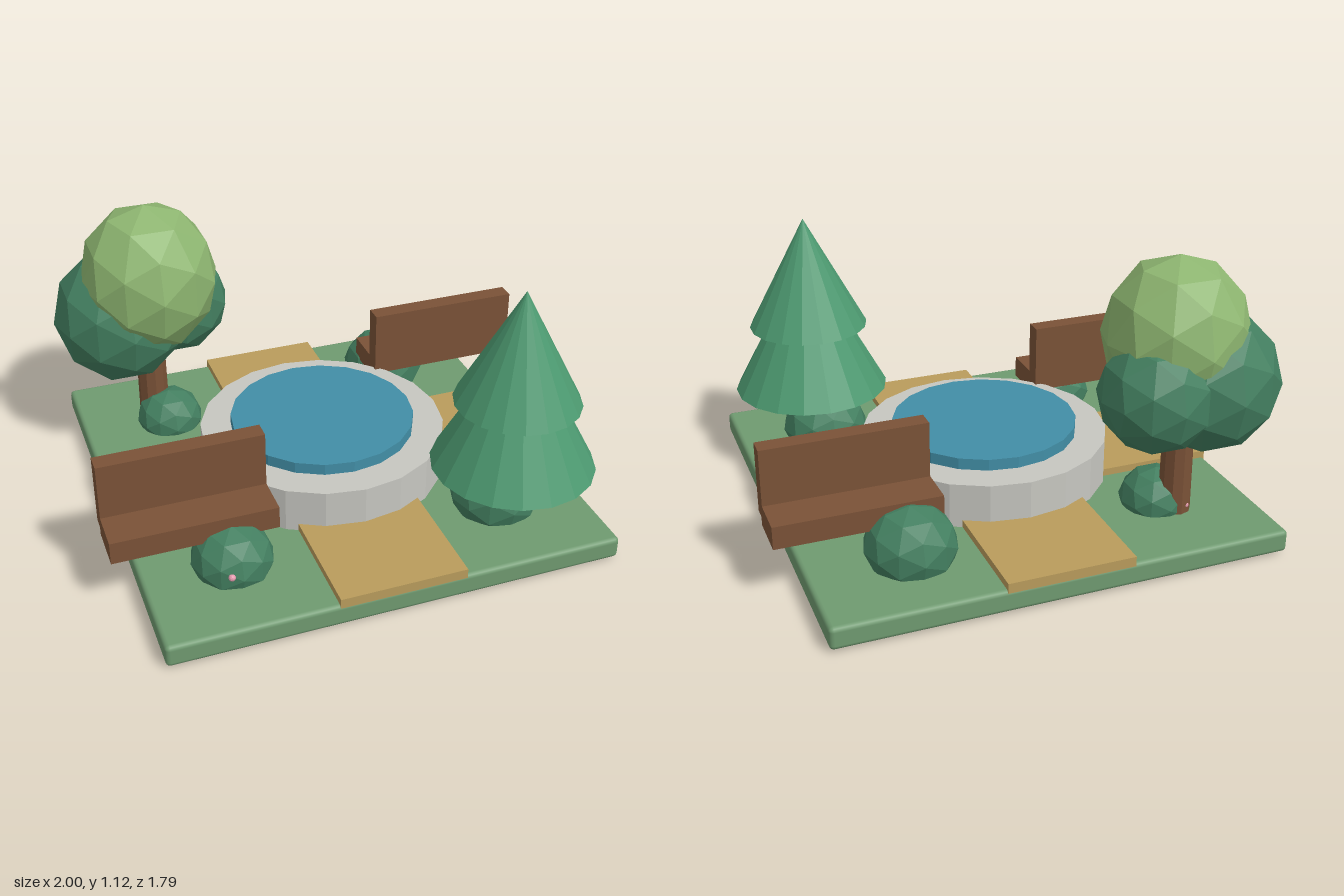
import * as THREE from 'three';
import { RoundedBoxGeometry } from 'three/addons/geometries/RoundedBoxGeometry.js';

const COLORS = {
  grass: 0x6f9a70, path: 0xb99c5c, stone: 0xc6c6c0, water: 0x428ea6, wood: 0x7a5237,
  pine: 0x4c9970, leaf: 0x437f60, lightLeaf: 0x8db570, bush: 0x437f60, flower: 0xe39aae,
};
const materials = {};
for (const key in COLORS) {
  materials[key] = new THREE.MeshStandardMaterial({ color: COLORS[key], flatShading: key !== 'grass' });
}

function add(parent, name, geometry, material, x, y, z) {
  const mesh = new THREE.Mesh(geometry, materials[material]);
  mesh.name = name;
  mesh.position.set(x, y, z);
  parent.add(mesh);
  return mesh;
}

// Box given by its lower and upper corners
function box(parent, name, material, [x0, y0, z0], [x1, y1, z1]) {
  return add(parent, name, new THREE.BoxGeometry(x1 - x0, y1 - y0, z1 - z0), material,
    (x0 + x1) / 2, (y0 + y1) / 2, (z0 + z1) / 2);
}

// Upright cylinder or cone between two heights
function column(parent, name, material, x, z, y0, y1, r0, r1, sides) {
  return add(parent, name, new THREE.CylinderGeometry(r1, r0, y1 - y0, sides), material, x, (y0 + y1) / 2, z);
}

// Faceted foliage ball, stretched or squashed vertically
function foliage(parent, name, material, x, y, z, r, ry) {
  return add(parent, name, new THREE.IcosahedronGeometry(1, 1).scale(r, ry, r), material, x, y, z);
}

function makeBench() {
  const bench = new THREE.Group();
  box(bench, 'benchSeat', 'wood', [-0.998, 0.23, 0.36], [-0.362, 0.32, 0.543]);
  box(bench, 'benchBack', 'wood', [-0.998, 0.265, 0.313], [-0.362, 0.543, 0.385]);
  return bench;
}

export function createModel() {
  const model = new THREE.Group();
  model.name = 'gardenSquare';

  // Lawn slab and crossing paths
  add(model, 'lawn', new RoundedBoxGeometry(1.79, 0.09, 1.79, 2, 0.018), 'grass', 0, 0.055, 0);
  box(model, 'longPath', 'path', [-0.25, 0.09, -0.895], [0.25, 0.13, 0.895]);
  for (const s of [-1, 1]) {
    box(model, 'sidePath', 'path', [s < 0 ? -0.895 : 0.25, 0.09, -0.25], [s < 0 ? -0.25 : 0.895, 0.13, 0.25]);
  }

  // Pond
  column(model, 'pondWall', 'stone', 0, 0, 0.095, 0.282, 0.5, 0.5, 20);
  column(model, 'water', 'water', 0, 0, 0.2, 0.328, 0.375, 0.375, 20);

  // Two benches, one turned half round
  for (const [name, angle] of [['frontBench', 0], ['backBench', Math.PI]]) {
    const bench = makeBench();
    bench.name = name;
    bench.rotation.y = angle;
    model.add(bench);
  }

  // Conifer
  const pine = new THREE.Group();
  pine.name = 'conifer';
  column(pine, 'coniferTrunk', 'wood', 0.575, 0.575, 0.005, 0.4, 0.065, 0.06, 10);
  column(pine, 'lowerBranches', 'pine', 0.575, 0.575, 0.328, 0.92, 0.32, 0, 18);
  column(pine, 'upperBranches', 'pine', 0.575, 0.575, 0.607, 1.068, 0.245, 0, 18);
  model.add(pine);

  // Round-headed tree
  const tree = new THREE.Group();
  tree.name = 'roundTree';
  column(tree, 'treeTrunk', 'wood', -0.575, -0.575, 0.02, 0.6, 0.065, 0.06, 10);
  foliage(tree, 'topCrown', 'lightLeaf', -0.572, 0.805, -0.515, 0.285, 0.318);
  foliage(tree, 'rightCrown', 'leaf', -0.69, 0.63, -0.565, 0.28, 0.285);
  foliage(tree, 'leftCrown', 'leaf', -0.447, 0.628, -0.62, 0.226, 0.228);
  model.add(tree);

  // Bushes: x, z, radius
  const bushes = [[0.54, 0.515, 0.18], [0.5, -0.56, 0.178], [-0.548, 0.535, 0.159], [-0.525, -0.505, 0.141]];
  for (const [x, z, r] of bushes) foliage(model, 'bush', 'bush', x, r * 0.885, z, r, r * 0.885);

  // Small blossoms on the bushes
  const blossoms = [[-0.59, 0.16, 0.68], [-0.59, 0.21, 0.43], [-0.6, 0.13, -0.62]];
  for (const [x, y, z] of blossoms) foliage(model, 'blossom', 'flower', x, y, z, 0.014, 0.014);

  return model;
}
